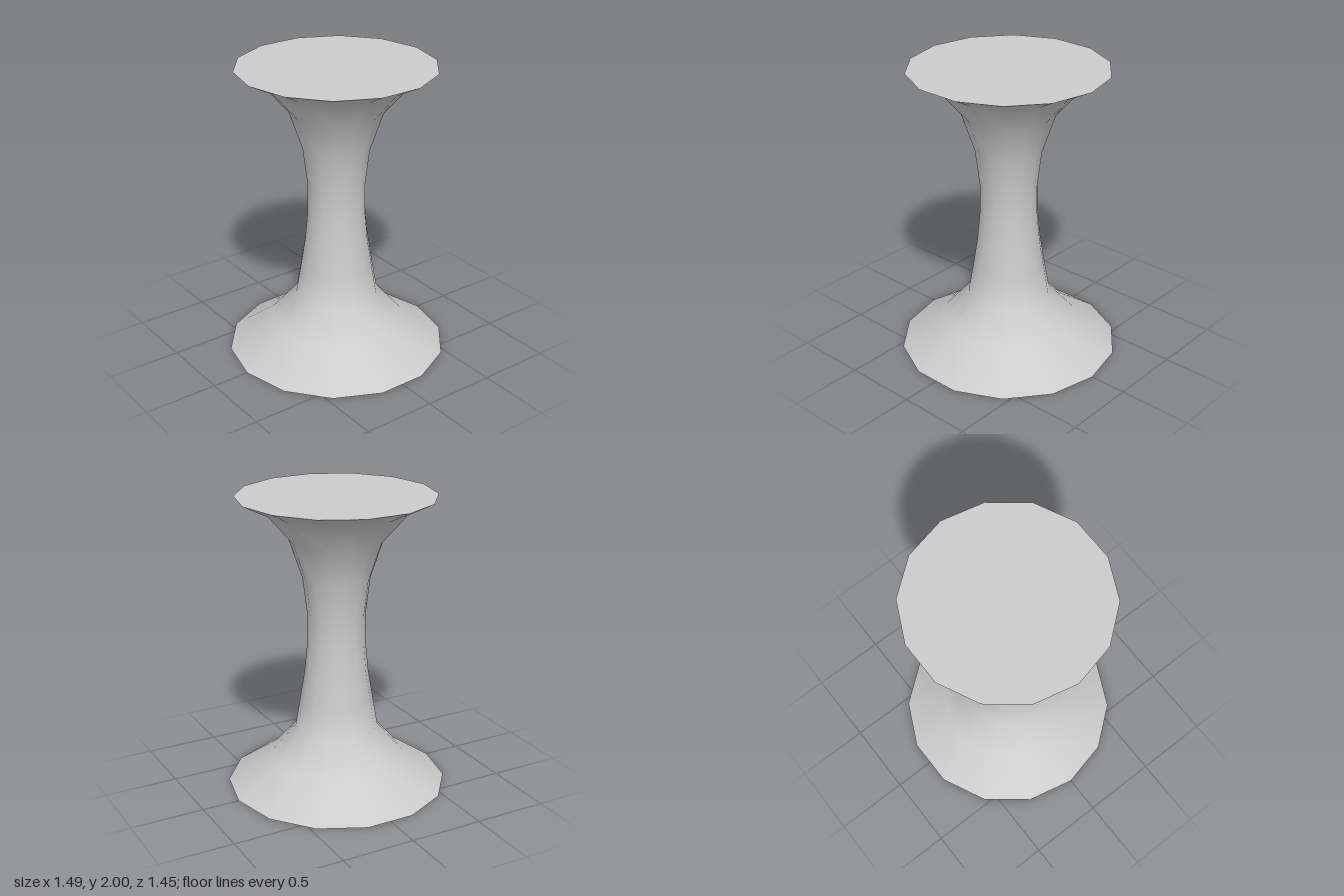
import * as THREE from 'three';

const SIDES = 14;

// Radius and height of the flared column, from floor to top
const PROFILE = [
  [0.745, 0], [0.455, 0.2], [0.28, 0.4], [0.246, 0.6], [0.214, 0.8], [0.195, 1.0],
  [0.193, 1.2], [0.223, 1.45], [0.31, 1.71], [0.482, 1.91], [0.657, 2],
];

export function createModel() {
  const group = new THREE.Group();
  group.name = 'pedestal';
  const material = new THREE.MeshStandardMaterial({ color: 0xcccccc });

  const add = (name, geometry) => {
    const mesh = new THREE.Mesh(geometry, material);
    mesh.name = name;
    group.add(mesh);
    return mesh;
  };

  // Smooth column, turned so a corner points along x
  const points = PROFILE.map(([r, y]) => new THREE.Vector2(r, y));
  add('column', new THREE.LatheGeometry(points, SIDES, Math.PI / 2));

  // Flat discs closing both ends
  const [bottom, top] = [PROFILE[0], PROFILE[PROFILE.length - 1]];
  add('topFace', new THREE.CircleGeometry(top[0], SIDES).rotateX(-Math.PI / 2)).position.y = top[1];
  add('bottomFace', new THREE.CircleGeometry(bottom[0], SIDES).rotateX(Math.PI / 2));

  return group;
}
